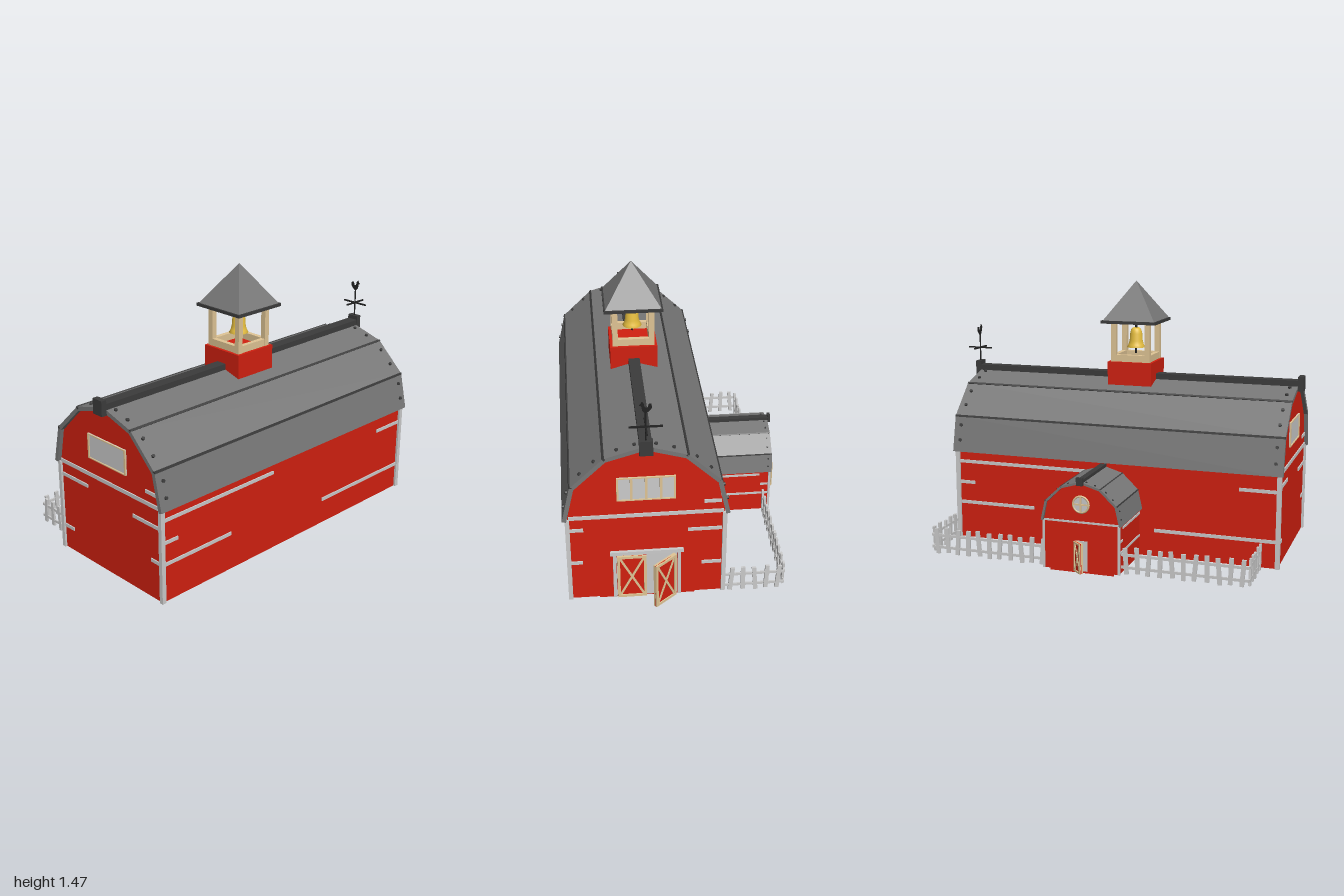
import * as THREE from 'three';

const mat = (color, extra = {}) => new THREE.MeshStandardMaterial({ color, ...extra });
const RED = mat(0xd22010), ROOF = mat(0x777777, { flatShading: true }), DARK = mat(0x3c3c3c);
const TRIM = mat(0xcccccc), TAN = mat(0xe0c595), GOLD = mat(0xe8c040, { side: THREE.DoubleSide });
const BLACK = mat(0x222222);

function add(parent, name, geo, material, x = 0, y = 0, z = 0) {
  const m = new THREE.Mesh(geo, material);
  m.name = name;
  m.position.set(x, y, z);
  parent.add(m);
  return m;
}
// Box given by its limits on each axis
const slab = (p, name, material, x0, x1, y0, y1, z0, z1) =>
  add(p, name, new THREE.BoxGeometry(Math.abs(x1 - x0), Math.abs(y1 - y0), Math.abs(z1 - z0)), material,
    (x0 + x1) / 2, (y0 + y1) / 2, (z0 + z1) / 2);

function group(parent, name, x = 0, y = 0, z = 0) {
  const g = new THREE.Group();
  g.name = name;
  g.position.set(x, y, z);
  parent.add(g);
  return g;
}

// Gambrel building along z: walls, corner boards, roof panels, joint strips, nails and ridge
function gambrel(parent, name, z0, z1, y0, openBack) {
  const g = group(parent, name);
  const half = [[0.39, y0], [0.39, 0.51], [0.352, 0.695], [0.198, 0.85]];
  const pts = [...half, [0, 0.907], ...half.map(([x, y]) => [-x, y]).reverse()];
  const shape = new THREE.Shape(pts.map(([x, y]) => new THREE.Vector2(x, y)));
  add(g, 'walls', new THREE.ExtrudeGeometry(shape, { depth: z1 - z0, bevelEnabled: false }), RED, 0, 0, z0);

  const r0 = openBack ? z0 - 0.02 : z0, r1 = z1 + 0.02;
  const ends = openBack ? [z0, z1] : [z1];
  for (const z of ends) {
    for (const s of [-1, 1]) slab(g, 'cornerBoard', TRIM, s * 0.38, s * 0.402, y0, 0.51, z - 0.012, z + 0.012);
    slab(g, 'gableBoard', TRIM, -0.385, 0.385, 0.508, 0.528, z - 0.006, z + 0.006);
  }

  const outer = [[0.416, 0.513], [0.372, 0.71], [0.205, 0.87], [0, 0.93]];
  for (const s of [-1, 1]) {
    for (let i = 0; i < 3; i++) {
      const [ax, ay] = outer[i], [bx, by] = outer[i + 1];
      const len = Math.hypot(bx - ax, by - ay);
      const panel = group(g, 'roofPanel', s * (ax + bx) / 2, (ay + by) / 2, 0);
      panel.rotation.z = Math.atan2(by - ay, s * (bx - ax));
      const out = -s; // outward side in the panel's own frame
      const o = out * Math.sign(-1) * -1;
      slab(panel, 'panel', ROOF, -len / 2, len / 2, 0, -o * -0.022 * -1, r0, r1);
      if (i < 2) slab(panel, 'jointStrip', DARK, len / 2 - 0.006, len / 2 + 0.006, -o * 0.012, o * 0.003, r0, r1);
      for (const z of openBack ? [r0 + 0.04, r1 - 0.04] : [r1 - 0.04])
        for (const t of [-0.17, 0.25])
          add(panel, 'nail', new THREE.CylinderGeometry(0.009, 0.009, 0.012, 8), DARK, t * len, o * 0.003, z);
    }
  }
  slab(g, 'ridgeBeam', DARK, -0.03, 0.03, 0.9, 0.953, r0, r1);
  slab(g, 'ridgeCap', DARK, -0.033, 0.033, 0.895, 0.975, r1, r1 + 0.03);
  if (openBack) slab(g, 'ridgeCap', DARK, -0.033, 0.033, 0.895, 0.975, r0 - 0.03, r0);
  return g;
}

// Cross-braced door leaf, outer face towards its own +z, standing on its origin
function doorLeaf(parent, name, w, h, bar, x, y, z, turn) {
  const g = group(parent, name, x, y, z);
  g.rotation.y = turn;
  slab(g, 'outerPanel', RED, -w / 2, w / 2, 0, h, 0, 0.005);
  slab(g, 'innerPanel', TAN, -w / 2, w / 2, 0, h, -0.006, 0);
  for (const s of [-1, 1]) slab(g, 'stile', TAN, s * w / 2, s * (w / 2 - bar), 0, h, -0.01, 0.011);
  for (const b of [0, h - bar]) slab(g, 'rail', TAN, -w / 2, w / 2, b, b + bar, -0.01, 0.011);
  const iw = w - bar * 2, ih = h - bar * 2;
  for (const s of [-1, 1]) {
    const brace = add(g, 'brace', new THREE.BoxGeometry(Math.hypot(iw, ih), bar * 0.8, 0.018), TAN, 0, h / 2, 0);
    brace.rotation.z = s * Math.atan2(ih, iw);
  }
  return g;
}

// Gable window of the given number of panes
function gableWindow(parent, z, dir, panes) {
  const g = group(parent, 'gableWindow', 0.187, 0.678, z);
  const w = 0.145, h = 0.067;
  slab(g, 'pane', TRIM, -w, w, -h, h, -0.004, 0.004);
  for (const s of [-1, 1]) {
    slab(g, 'sideFrame', TAN, s * w, s * (w - 0.01), -h, h, 0, dir * 0.01);
    slab(g, 'crossFrame', TAN, -w, w, s * h, s * (h - 0.006), 0, dir * 0.01);
  }
  for (let i = 1; i < panes; i++) {
    const x = -w + (2 * w * i) / panes;
    slab(g, 'glazingBar', TAN, x - 0.006, x + 0.006, -h, h, 0, dir * 0.01);
  }
}

// Picket fence run from a to b on the ground plane, with slightly uneven pickets
function fence(parent, ax, az, bx, bz) {
  const len = Math.hypot(bx - ax, bz - az), g = group(parent, 'fence', ax, 0, az);
  g.rotation.y = Math.atan2(-(bz - az), bx - ax);
  for (const y of [0.045, 0.112]) slab(g, 'fenceRail', TRIM, 0, len, y - 0.007, y + 0.007, -0.004, 0.004);
  const n = Math.round(len / 0.06);
  for (let i = 0; i < n; i++) {
    const p = slab(g, 'picket', TRIM, -0.011, 0.011, -0.07, 0.07, -0.006, 0.006);
    p.position.set((i + 0.5) * len / n, 0.082 + 0.004 * Math.sin(i * 2.3), 0);
    p.rotation.z = 0.09 * Math.sin(i * 1.7 + 1);
  }
}

export function createModel() {
  const root = new THREE.Group();
  root.name = 'barn';
  const CX = 0.187, Y0 = 0.012, Z0 = -0.88, Z1 = 0.95, AZ = -0.01, K = 0.53;

  // Main barn and the smaller annex on its right
  gambrel(root, 'mainBarn', Z0, Z1, Y0, true).position.x = CX;
  const annex = gambrel(root, 'annex', 0.19 / K, 0.555 / K, Y0 / K, false);
  annex.scale.setScalar(K);
  annex.rotation.y = -Math.PI / 2;
  annex.position.z = AZ;

  // Weathered boards: height and extent on each wall
  const T = 0.009;
  const front = [[0.443, -0.19, 0.02], [0.412, 0.37, 0.57], [0.222, 0.5, 0.57], [0.143, -0.19, -0.115], [0.58, 0.47, 0.565]];
  const back = [[0.443, 0.5, 0.57], [0.412, -0.19, -0.02], [0.24, 0.51, 0.57], [0.2, -0.19, -0.09], [0.58, -0.185, -0.1]];
  for (const [y, a, b] of front) slab(root, 'frontBoard', TRIM, a, b, y - T, y + T, Z1 - 0.005, Z1 + 0.006);
  for (const [y, a, b] of back) slab(root, 'backBoard', TRIM, a, b, y - T, y + T, Z0 - 0.006, Z0 + 0.005);
  const side = [[0.455, 0.185, 0.94], [0.425, -0.87, -0.67], [0.335, 0.85, 0.94], [0.218, 0.49, 0.94], [0.157, -0.87, -0.21]];
  for (const [y, a, b] of side) {
    slab(root, 'leftBoard', TRIM, 0.572, 0.583, y - T, y + T, a, b);
    slab(root, 'rightBoard', TRIM, -0.209, -0.198, y - T, y + T, 0.07 - b, 0.07 - a);
  }
  for (const [y, a, b] of [[0.25, -0.5, -0.21], [0.185, -0.553, -0.505], [0.125, -0.553, -0.21]])
    for (const s of [-1, 1]) {
      const z = AZ + s * 0.207;
      slab(root, 'annexBoard', TRIM, a, b, y - 0.006, y + 0.006, z - 0.004, z + 0.004);
    }

  // Gable windows and the annex's round window
  gableWindow(root, Z1, 1, 1);
  gableWindow(root, Z0, -1, 4);
  const round = group(root, 'roundWindow', -0.557, 0.37, AZ);
  round.rotation.y = -Math.PI / 2;
  add(round, 'pane', new THREE.CircleGeometry(0.043, 24), TRIM, 0, 0, 0.002);
  add(round, 'frame', new THREE.TorusGeometry(0.043, 0.006, 6, 24), TAN);
  slab(round, 'glazingBar', TAN, -0.004, 0.004, -0.043, 0.043, 0, 0.006);
  slab(round, 'glazingBar', TAN, -0.043, 0.043, -0.004, 0.004, 0, 0.006);

  // Back double door, one leaf ajar
  slab(root, 'doorway', TRIM, 0.035, 0.34, Y0, 0.28, Z0 - 0.004, Z0 + 0.01);
  for (const s of [-1, 1]) slab(root, 'doorPost', TRIM, CX + s * 0.155, CX + s * 0.172, Y0, 0.285, Z0 - 0.014, Z0);
  slab(root, 'doorHeader', TRIM, CX - 0.185, CX + 0.185, 0.28, 0.3, Z0 - 0.016, Z0);
  doorLeaf(root, 'closedDoor', 0.148, 0.26, 0.014, 0.264, 0.018, Z0 - 0.014, Math.PI);
  doorLeaf(root, 'openDoor', 0.142, 0.26, 0.014, 0.1, 0.018, -0.945, 0.685 + Math.PI);
  slab(root, 'threshold', RED, CX - 0.245, CX + 0.245, 0, Y0, Z0 + 0.005, Z0 + 0.015);

  // Annex door ajar
  slab(root, 'annexDoorway', TRIM, -0.558, -0.55, Y0, 0.175, -0.045, 0.025);
  doorLeaf(root, 'annexDoor', 0.067, 0.16, 0.009, -0.587, 0.015, -0.015, Math.atan2(-0.74, -0.67));
  slab(root, 'annexThreshold', RED, -0.55, -0.54, 0, Y0, AZ - 0.175, AZ + 0.175);

  // Fence around the yard, broken by the annex
  fence(root, -0.215, 0.865, -0.52, 0.865);
  fence(root, -0.52, 0.865, -0.52, 0.19);
  fence(root, -0.52, -0.21, -0.52, -0.89);
  fence(root, -0.52, -0.89, -0.215, -0.89);

  // Bell tower
  const tower = group(root, 'bellTower', CX, 0, 0.05);
  slab(tower, 'towerBase', RED, -0.126, 0.126, 0.84, 1.022, -0.126, 0.126);
  for (const s of [-1, 1]) {
    for (const t of [-1, 1]) slab(tower, 'post', TAN, s * 0.083, s * 0.112, 1.02, 1.24, t * 0.083, t * 0.112);
    slab(tower, 'lowerRail', TAN, -0.083, 0.083, 1.02, 1.06, s * 0.085, s * 0.11);
    slab(tower, 'lowerRail', TAN, s * 0.085, s * 0.11, 1.02, 1.06, -0.083, 0.083);
  }
  slab(tower, 'eave', DARK, -0.156, 0.156, 1.236, 1.252, -0.156, 0.156);
  add(tower, 'towerRoof', new THREE.ConeGeometry(0.148 * Math.SQRT2, 0.214, 4, 1, false, Math.PI / 4), ROOF, 0, 1.358, 0);
  const bell = [[0, 1.205], [0.018, 1.203], [0.028, 1.193], [0.034, 1.17], [0.037, 1.13], [0.043, 1.108], [0.051, 1.093], [0.045, 1.093], [0.03, 1.14], [0, 1.19]];
  add(tower, 'bell', new THREE.LatheGeometry(bell.map(([x, y]) => new THREE.Vector2(x, y)).reverse(), 24), GOLD);
  add(tower, 'bellRod', new THREE.CylinderGeometry(0.006, 0.006, 0.18, 8), BLACK, 0, 1.15, 0);

  // Weathervane with a flat cockerel
  const vane = group(root, 'weathervane', CX, 0, -0.915);
  add(vane, 'rod', new THREE.CylinderGeometry(0.004, 0.004, 0.17, 8), BLACK, 0, 1.055, 0);
  slab(vane, 'arm', BLACK, -0.08, 0.08, 1.046, 1.054, -0.004, 0.004);
  slab(vane, 'arm', BLACK, -0.004, 0.004, 1.046, 1.054, -0.073, 0.073);
  const bird = [[-0.004, 1.125], [0.004, 1.125], [0.016, 1.14], [0.02, 1.162], [0.03, 1.167], [0.022, 1.174], [0.016, 1.185],
    [0.008, 1.174], [0.004, 1.155], [-0.01, 1.152], [-0.016, 1.172], [-0.028, 1.172], [-0.03, 1.152], [-0.018, 1.136]];
  add(vane, 'cockerel', new THREE.ExtrudeGeometry(new THREE.Shape(bird.map(([x, y]) => new THREE.Vector2(x, y))),
    { depth: 0.005, bevelEnabled: false }), BLACK, 0, 0, -0.0025);
  return root;
}
